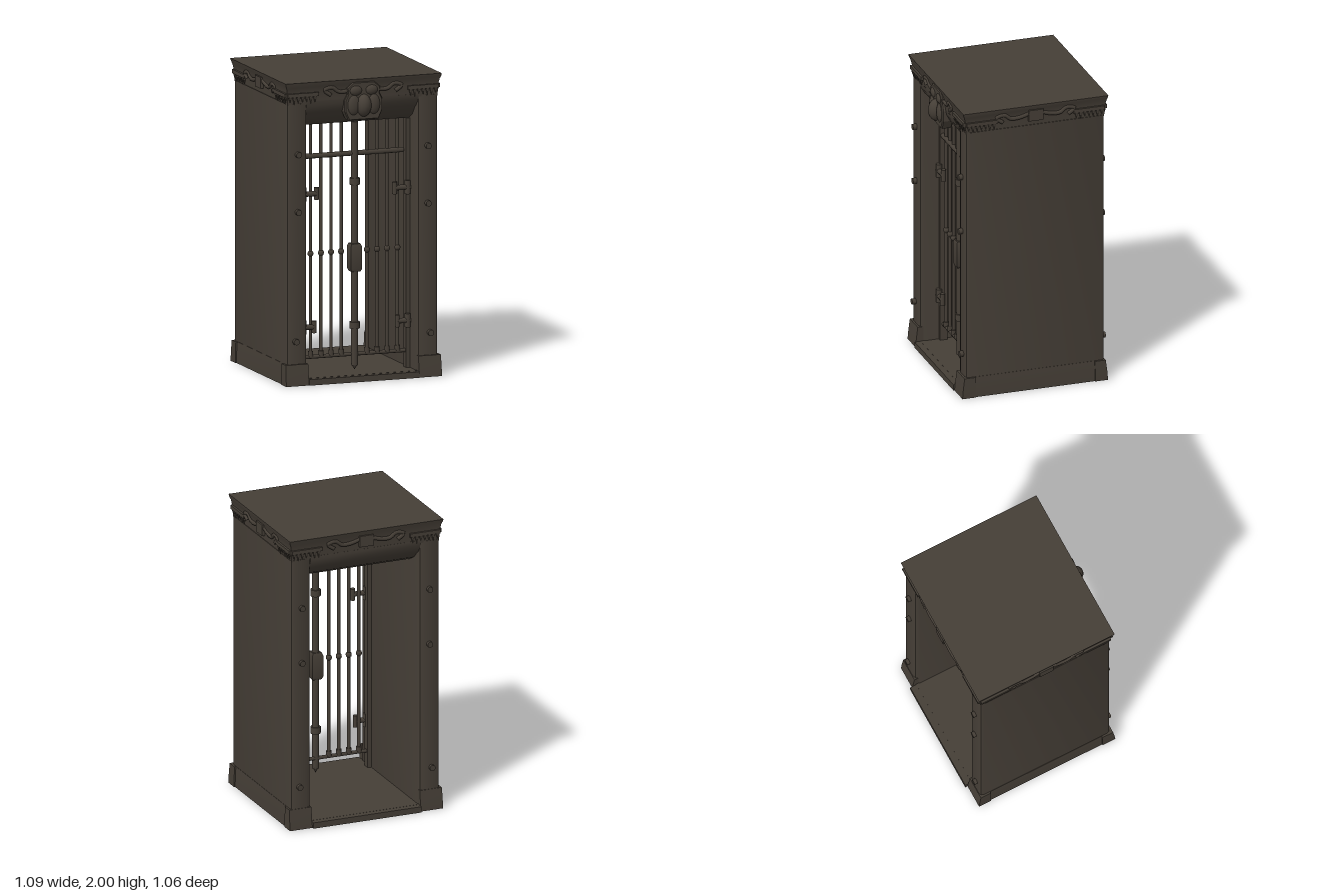
import * as THREE from 'three';
import { toCreasedNormals } from 'three/addons/utils/BufferGeometryUtils.js';

export function createModel() {
  const root = new THREE.Group();
  root.name = 'cageBooth';
  const iron = new THREE.MeshStandardMaterial({ color: 0x463f37 });
  iron.name = 'darkIron';

  const add = (name, geo, x = 0, y = 0, z = 0, parent = root) => {
    const m = new THREE.Mesh(geo, iron);
    m.name = name;
    m.position.set(x, y, z);
    parent.add(m);
    return m;
  };
  const group = (name) => {
    const g = new THREE.Group();
    g.name = name;
    root.add(g);
    return g;
  };
  const box = (w, h, d) => new THREE.BoxGeometry(w, h, d);
  const rod = (r, h, n = 8) => new THREE.CylinderGeometry(r, r, h, n);
  const shapeOf = (pts) => new THREE.Shape(pts.map((p) => new THREE.Vector2(p[0], p[1])));

  // Stacked rectangles [y, x0, x1, z0, z1] joined into a closed solid
  const loft = (rings) => {
    const pos = [];
    const corner = ([y, x0, x1, z0, z1]) => [[x0, y, z1], [x1, y, z1], [x1, y, z0], [x0, y, z0]];
    const quad = (a, b, c, d) => pos.push(...a, ...b, ...c, ...a, ...c, ...d);
    for (let i = 0; i < rings.length - 1; i++) {
      const a = corner(rings[i]), b = corner(rings[i + 1]);
      for (let k = 0; k < 4; k++) quad(a[k], a[(k + 1) % 4], b[(k + 1) % 4], b[k]);
    }
    const lo = corner(rings[0]), hi = corner(rings[rings.length - 1]);
    quad(lo[3], lo[2], lo[1], lo[0]);
    quad(hi[0], hi[1], hi[2], hi[3]);
    const g = new THREE.BufferGeometry();
    g.setAttribute('position', new THREE.Float32BufferAttribute(pos, 3));
    return toCreasedNormals(g, 0.6);
  };

  // Thick side walls with softened corners
  for (const s of [1, -1]) {
    const pts = [[0.38, 0.42], [0.392, 0.447], [0.42, 0.455], [0.505, 0.455], [0.52, 0.448], [0.527, 0.43],
      [0.527, -0.475], [0.52, -0.493], [0.505, -0.5], [0.42, -0.5], [0.392, -0.49], [0.38, -0.465]];
    const g = new THREE.ExtrudeGeometry(shapeOf(pts.map(([x, z]) => [s * x, -z])),
      { depth: 1.85, bevelEnabled: false });
    g.rotateX(-Math.PI / 2);
    add('sideWall', toCreasedNormals(g, 0.7), 0, 0.01, 0);
  }

  // Ceiling block, sloping up to the front and back faces
  const lintel = new THREE.ExtrudeGeometry(shapeOf([[0.455, 1.87], [0.45, 1.835], [0.425, 1.79], [0.37, 1.725],
    [0.31, 1.69], [-0.34, 1.69], [-0.42, 1.73], [-0.475, 1.785], [-0.5, 1.84], [-0.5, 1.87]]
    .map(([z, y]) => [-z, y])), { depth: 0.78, bevelEnabled: false });
  lintel.rotateY(Math.PI / 2);
  add('ceiling', toCreasedNormals(lintel, 0.7), -0.39, 0, 0);

  // Floor, sills and base
  add('floor', box(0.8, 0.04, 0.94), 0, 0.021, -0.02);
  add('frontSill', box(0.765, 0.04, 0.1), 0, 0.02, 0.44);
  add('backSill', box(0.765, 0.04, 0.1), 0, 0.02, -0.485);
  for (const s of [1, -1]) {
    const skirt = (x, z0, z1, y) => [y, ...(s > 0 ? [0.385, x] : [-x, -0.385]), z0, z1];
    add('baseSkirt', loft([skirt(0.535, -0.505, 0.465, 0), skirt(0.533, -0.5, 0.462, 0.09),
      skirt(0.529, -0.503, 0.46, 0.14)]));
    for (const f of [1, -1]) {
      const shoe = (x, d, y) => [y, ...(s > 0 ? [0.384, x] : [-x, -0.384]),
        ...(f > 0 ? [0.39, d] : [-d - 0.035, -0.43])];
      add('cornerShoe', loft([shoe(0.542, 0.483, 0), shoe(0.542, 0.478, 0.06), shoe(0.54, 0.468, 0.14)]));
    }
  }

  // Flared roof cornice
  add('roof', loft([[1.85, -0.522, 0.522, -0.497, 0.452], [1.88, -0.524, 0.524, -0.5, 0.455],
    [1.93, -0.526, 0.526, -0.503, 0.458], [1.965, -0.533, 0.533, -0.51, 0.466],
    [1.985, -0.541, 0.541, -0.516, 0.474], [2, -0.545, 0.543, -0.52, 0.477]]));

  // Cornice trim: teeth near corners, swags and a middle block on each side
  const trim = (name, half, x, z, turn) => {
    const g = group(name);
    g.position.set(x, 0, z);
    g.rotation.y = turn;
    for (const s of [1, -1]) {
      for (let i = 0; i < 7; i++) {
        const h = 0.045 + 0.014 * ((i * 3) % 4) / 3;
        const t = add('tooth', new THREE.ConeGeometry(0.017, h, 6), s * (half - 0.018 - i * 0.029), 1.913 - h / 2, 0.003, g);
        t.rotation.x = Math.PI;
        t.scale.z = 0.8;
      }
      add('toothBand', box(0.215, 0.025, 0.026), s * (half - 0.107), 1.918, 0.003, g);
      const swag = new THREE.CatmullRomCurve3([[0.225, 1.905], [0.27, 1.94], [0.215, 1.955], [0.17, 1.925],
        [0.11, 1.925], [0.04, 1.945]].map(([a, y]) => new THREE.Vector3(s * a, y, 0.003)));
      add('swag', new THREE.TubeGeometry(swag, 20, 0.014, 6), 0, 0, 0, g);
    }
    add('middleBlock', box(0.1, 0.075, 0.035), 0, 1.93, 0.003, g);
  };
  trim('frontTrim', 0.525, 0, 0.457, 0);
  trim('backTrim', 0.525, 0, -0.502, Math.PI);
  trim('leftTrim', 0.475, 0.525, -0.0225, Math.PI / 2);
  trim('rightTrim', 0.475, -0.525, -0.0225, -Math.PI / 2);

  // Carved crest above the door
  const crest = group('crest');
  const plate = new THREE.ExtrudeGeometry(shapeOf([[-0.1, 1.735], [0.1, 1.735], [0.125, 1.79], [0.125, 1.86], [0.105, 1.9],
    [0.11, 1.94], [0.07, 1.975], [-0.07, 1.975], [-0.11, 1.94], [-0.105, 1.9], [-0.125, 1.86], [-0.125, 1.79]]),
    { depth: 0.06, bevelEnabled: true, bevelSize: 0.006, bevelThickness: 0.008, bevelSegments: 1 });
  add('crestPlate', plate, 0, 0, 0.41, crest);
  const ball = (name, x, y, z, sx, sy, sz) =>
    add(name, new THREE.SphereGeometry(1, 14, 10), x, y, z, crest).scale.set(sx, sy, sz);
  ball('crestBoss', 0, 1.825, 0.475, 0.05, 0.075, 0.055);
  for (const s of [1, -1]) {
    ball('crestLobe', s * 0.07, 1.83, 0.47, 0.045, 0.07, 0.025);
    ball('crestCurl', s * 0.055, 1.925, 0.47, 0.045, 0.035, 0.022);
  }

  // Rivets on front and back posts
  for (const s of [1, -1])
    for (const [x, y] of [[0.452, 1.525], [0.452, 1.145], [0.468, 0.29]])
      for (const z of [0.457, -0.497]) {
        const r = add('rivet', rod(0.02, 0.05, 10), s * x, y, z);
        r.rotation.x = Math.PI / 2;
      }

  // Barred double door
  const door = group('door');
  const Z = 0.3;
  for (const s of [1, -1]) {
    add('doorPost', box(0.032, 1.65, 0.05), s * 0.37, 0.865, Z, door);
    [0.09, 0.16, 0.23, 0.303].forEach((x) => {
      add('bar', rod(0.012, 1.55), s * x, 0.925, Z, door);
      add('barCollar', new THREE.SphereGeometry(0.021, 8, 6), s * x, 0.835, Z, door);
      add('barFoot', rod(0.019, 0.035), s * x, 0.172, Z, door);
    });
    // Strap hinges
    for (const [y, end] of [[1.235, 0.272], [0.355, 0.29]]) {
      const arm = add('hingeArm', rod(0.018, 0.385 - end), s * (0.385 + end) / 2, y, Z + 0.03, door);
      arm.rotation.z = Math.PI / 2;
      add('hingeEnd', rod(0.017, 0.08), s * end, y, Z + 0.03, door);
      add('hingePin', rod(0.02, 0.09), s * 0.362, y, Z + 0.03, door);
    }
  }
  const top = add('topRail', rod(0.017, 0.695), -0.008, 1.48, Z + 0.005, door);
  const low = add('bottomRail', rod(0.013, 0.71), 0, 0.152, Z, door);
  top.rotation.z = low.rotation.z = Math.PI / 2;

  // Middle pole with collars and lock
  add('middlePole', rod(0.024, 1.61, 10), 0, 0.885, Z + 0.01, door);
  for (const y of [1.295, 0.345]) add('poleCollar', rod(0.034, 0.045, 10), 0, y, Z + 0.01, door);
  add('lockBox', loft([[0.7, -0.03, 0.03, -0.03, 0.03], [0.72, -0.039, 0.039, -0.036, 0.036],
    [0.865, -0.039, 0.039, -0.036, 0.036], [0.885, -0.03, 0.03, -0.03, 0.03]]), 0, 0, Z + 0.01, door);
  add('poleTip', new THREE.ConeGeometry(0.024, 0.04, 8), 0, 0.07, Z + 0.01, door).rotation.x = Math.PI;

  return root;
}
